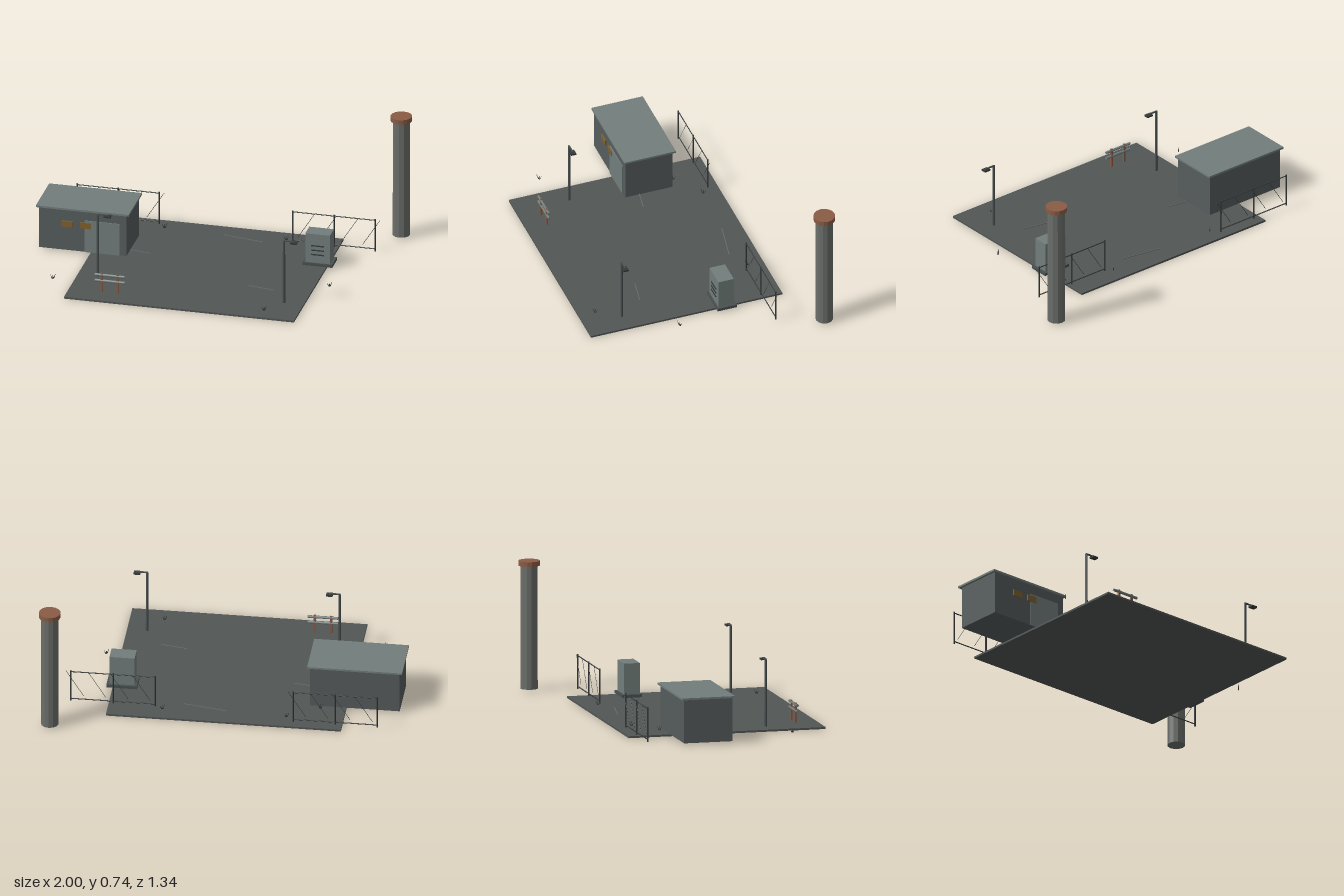
import * as THREE from 'three';

const material = (color) => new THREE.MeshStandardMaterial({ color });
const flat = (color) => {
  const m = material(color);
  m.flatShading = true;
  return m;
};
const mats = {
  ground: material(0x525655),
  wall: material(0x565c5d),
  panel: material(0x727e7c),
  metal: flat(0x4a5050),
  dark: flat(0x363a3a),
  stone: flat(0x6a6e69),
  rust: flat(0x8a5c45),
  amber: material(0x80602f),
  crack: material(0x6a6e6d),
};

const GROUND = 0.011;

export function createModel() {
  const model = new THREE.Group();

  const group = (name, x = 0, z = 0) => {
    const g = new THREE.Group();
    g.name = name;
    g.position.set(x, 0, z);
    model.add(g);
    return g;
  };

  // Box given by its lower and upper limits on each axis
  const box = (parent, name, mat, [x0, x1], [y0, y1], [z0, z1]) => {
    const mesh = new THREE.Mesh(new THREE.BoxGeometry(x1 - x0, y1 - y0, z1 - z0), mat);
    mesh.position.set((x0 + x1) / 2, (y0 + y1) / 2, (z0 + z1) / 2);
    mesh.name = name;
    parent.add(mesh);
    return mesh;
  };

  // Round bar from point a to point b
  const bar = (parent, name, mat, a, b, r0, r1 = r0, sides = 6) => {
    const from = new THREE.Vector3(...a);
    const dir = new THREE.Vector3(...b).sub(from);
    const mesh = new THREE.Mesh(new THREE.CylinderGeometry(r1, r0, dir.length(), sides), mat);
    mesh.position.copy(from).addScaledVector(dir, 0.5);
    mesh.quaternion.setFromUnitVectors(new THREE.Vector3(0, 1, 0), dir.normalize());
    mesh.name = name;
    parent.add(mesh);
    return mesh;
  };

  // Paved yard
  box(model, 'groundSlab', mats.ground, [-0.685, 0.64], [0, GROUND], [-0.47, 0.67]);

  // Thin surface cracks
  const cracks = [
    [-0.025, -0.355, 0.22, -0.31],
    [0.28, 0.275, 0.43, 0.302],
    [-0.5, -0.035, -0.36, -0.012],
  ];
  for (const [x0, z0, x1, z1] of cracks) {
    const crack = new THREE.Mesh(
      new THREE.BoxGeometry(Math.hypot(x1 - x0, z1 - z0), 0.004, 0.004), mats.crack);
    crack.position.set((x0 + x1) / 2, GROUND + 0.002, (z0 + z1) / 2);
    crack.rotation.y = -Math.atan2(z1 - z0, x1 - x0);
    crack.name = 'groundCrack';
    model.add(crack);
  }

  // Hut with overhanging roof, front shutter and lit windows
  const hut = group('hut');
  box(hut, 'hutWalls', mats.wall, [-0.985, -0.48], [GROUND, 0.258], [-0.23, 0.051]);
  box(hut, 'hutRoof', mats.panel, [-1, -0.465], [0.258, 0.269], [-0.245, 0.061]);
  box(hut, 'shutter', mats.panel, [-0.72, -0.52], [GROUND, 0.203], [0.049, 0.056]);
  for (const x of [-0.82, -0.715]) {
    box(hut, 'hutWindow', mats.amber, [x - 0.032, x + 0.032], [0.155, 0.19], [0.05, 0.059]);
  }

  // Utility cabinet on a plinth with front louvres
  const cabinet = group('cabinet');
  box(cabinet, 'cabinetBase', mats.metal, [0.502, 0.674], [GROUND, 0.028], [-0.187, -0.073]);
  box(cabinet, 'cabinetBody', mats.panel, [0.517, 0.659], [0.028, 0.203], [-0.174, -0.082]);
  for (const y of [0.078, 0.105, 0.132]) {
    box(cabinet, 'cabinetLouvre', mats.dark, [0.55, 0.626], [y - 0.003, y + 0.003], [-0.084, -0.077]);
  }

  // Chimney stack with rusted cap
  const chimney = group('chimney', 0.938, -0.61);
  bar(chimney, 'chimneyStack', mats.stone, [0, GROUND, 0], [0, 0.712, 0], 0.05, 0.049, 12);
  bar(chimney, 'chimneyCap', mats.rust, [0, 0.71, 0], [0, 0.737, 0], 0.061, 0.061, 16);

  // Lamp posts
  for (const [x, z] of [[-0.57, 0.353], [0.527, 0.446]]) {
    const lamp = group('lampPost', x, z);
    bar(lamp, 'lampPole', mats.metal, [0, GROUND, 0], [0, 0.39, 0], 0.008, 0.007, 8);
    box(lamp, 'lampArm', mats.metal, [-0.004, 0.06], [0.387, 0.394], [-0.004, 0.004]);
    box(lamp, 'lampHead', mats.dark, [0.038, 0.075], [0.379, 0.389], [-0.015, 0.015]);
  }

  // Low barrier: two rails on rusted posts
  const barrier = group('barrier', -0.451, 0.547);
  for (const x of [-0.046, 0.046]) {
    box(barrier, 'barrierPost', mats.rust, [x - 0.006, x + 0.006], [GROUND, 0.123], [-0.005, 0.005]);
  }
  for (const y of [0.077, 0.112]) {
    bar(barrier, 'barrierRail', mats.panel, [-0.086, y, 0], [0.086, y, 0], 0.008, 0.008, 8);
  }

  // Wire fences: three posts, two rails, slanting wires
  for (const [x, z] of [[-0.645, -0.414], [0.615, -0.352]]) {
    const fence = group('fence', x, z);
    for (const px of [-0.237, 0, 0.237]) {
      bar(fence, 'fencePost', mats.dark, [px, GROUND, 0], [px, 0.207, 0], 0.0045);
    }
    for (const y of [0.025, 0.2]) {
      bar(fence, 'fenceRail', mats.dark, [-0.237, y, 0], [0.237, y, 0], 0.003);
    }
    for (const wx of [-0.16, -0.035, 0.09, 0.215]) {
      bar(fence, 'fenceWire', mats.dark, [wx - 0.05, 0.045, 0], [wx + 0.05, 0.203, 0], 0.0013, 0.0013, 4);
    }
  }

  // Weed tufts: three fanned blades each
  const tufts = [
    [-0.366, -0.37], [-0.543, -0.255], [0.334, -0.375],
    [0.72, 0.17], [-0.805, 0.445], [0.444, 0.573],
  ];
  for (const [x, z] of tufts) {
    const tuft = group('weedTuft', x, z);
    for (const s of [-1, 0, 1]) {
      bar(tuft, 'weedBlade', mats.dark, [s * 0.003, GROUND, s * -0.002],
        [s * 0.013, 0.038, s * -0.011], 0.003, 0.0003, 4);
    }
  }

  return model;
}
